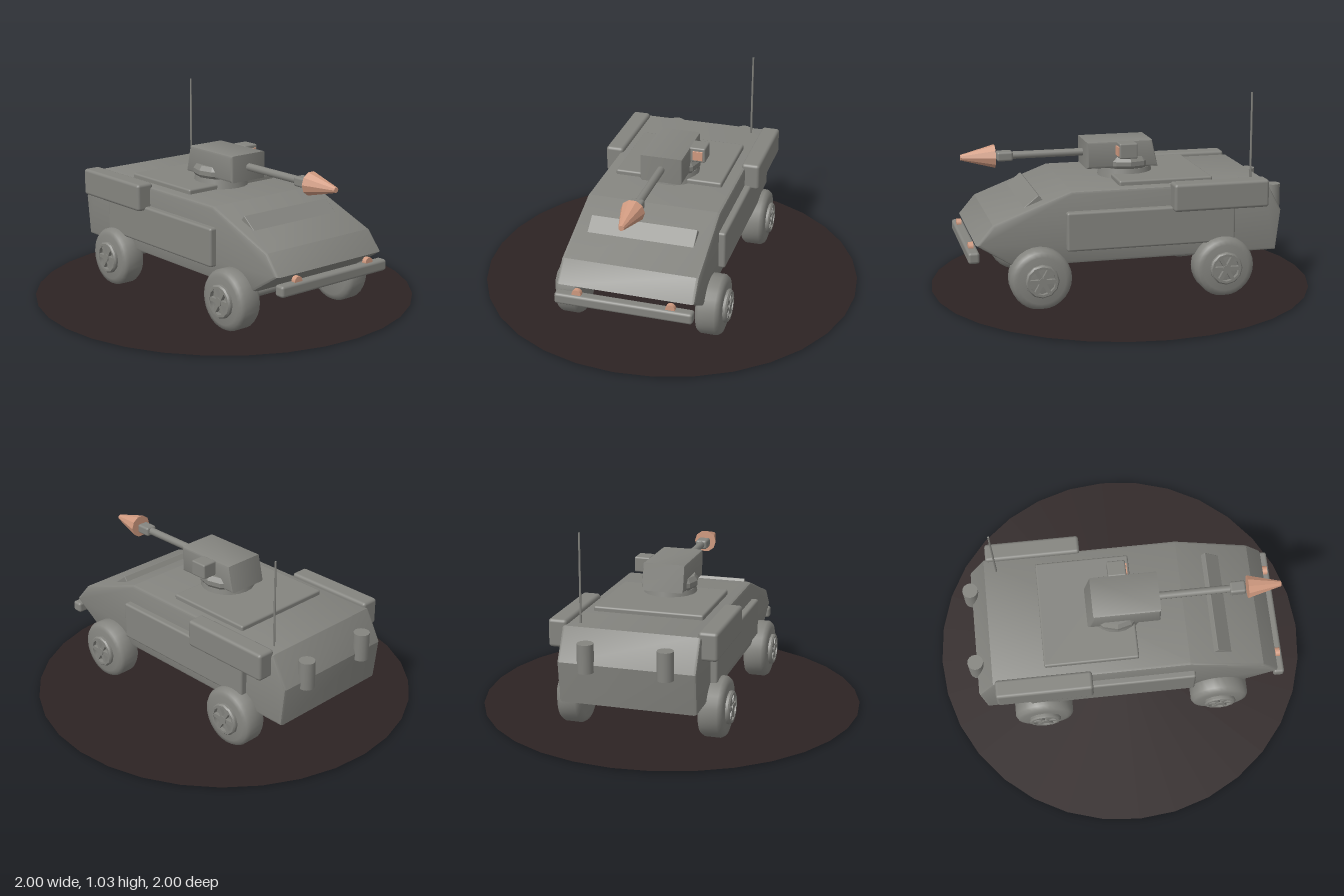
import * as THREE from 'three';
import { toCreasedNormals } from 'three/addons/utils/BufferGeometryUtils.js';
import { RoundedBoxGeometry } from 'three/addons/geometries/RoundedBoxGeometry.js';

const mat = (name, color, extra = {}) => {
  const m = new THREE.MeshStandardMaterial({ color, ...extra });
  m.name = name;
  return m;
};

export function createModel() {
  const model = new THREE.Group();
  model.name = 'armouredCar';
  const grey = mat('armourGrey', 0x84847f);
  const copper = mat('copper', 0xd09a80);
  const earth = mat('darkEarth', 0x2d2323, { side: THREE.DoubleSide });

  const add = (name, geo, material = grey, parent = model) => {
    const mesh = new THREE.Mesh(geo, material);
    mesh.name = name;
    parent.add(mesh);
    return mesh;
  };
  // Rounded box given by its limits on each axis
  const box = (name, [x0, x1], [y0, y1], [z0, z1], r = 0.012, material = grey) => {
    const mesh = add(name, new RoundedBoxGeometry(x1 - x0, y1 - y0, z1 - z0, 2, r), material);
    mesh.position.set((x0 + x1) / 2, (y0 + y1) / 2, (z0 + z1) / 2);
    return mesh;
  };
  // Side profile extruded across the vehicle, with bevelled edges
  const slab = (name, points, halfWidth, bevel) => {
    const shape = new THREE.Shape(points.map(p => new THREE.Vector2(...p)));
    const geo = new THREE.ExtrudeGeometry(shape, {
      depth: 2 * (halfWidth - bevel), bevelEnabled: true, bevelThickness: bevel,
      bevelSize: bevel, bevelOffset: -bevel, bevelSegments: 2,
    });
    geo.translate(0, 0, -halfWidth + bevel);
    return add(name, toCreasedNormals(geo, 0.5));
  };
  // Round part lying along x
  const rod = (name, x0, x1, r0, r1, sides, y, z, material = grey) => {
    const geo = new THREE.CylinderGeometry(r1, r0, x1 - x0, sides);
    geo.rotateZ(-Math.PI / 2);
    const mesh = add(name, sides < 12 ? toCreasedNormals(geo, 0.3) : geo, material);
    mesh.position.set((x0 + x1) / 2, y, z);
    return mesh;
  };

  // Ground disc
  const disc = add('groundDisc', new THREE.CircleGeometry(1, 32).rotateX(-Math.PI / 2), earth);
  disc.position.y = 0.006;

  // Hull
  slab('hull', [[-0.75, 0.21], [0.62, 0.21], [0.81, 0.33], [0.725, 0.43], [0.33, 0.58],
    [-0.69, 0.58], [-0.775, 0.42]], 0.35, 0.015);
  box('roofPlate', [-0.42, 0.07], [0.57, 0.605], [-0.285, 0.285], 0.01);
  const hatch = box('visorFlap', [0.46, 0.565], [0.495, 0.53], [-0.275, 0.275], 0.003);
  hatch.rotation.z = -0.68;
  hatch.position.set(0.513, 0.507, 0);

  // Side armour and stowage boxes
  for (const s of [1, -1]) {
    const span = (a, b) => (s > 0 ? [a, b] : [-b, -a]);
    box('sidePanel', [-0.515, 0.36], [0.28, 0.48], span(0.33, 0.385));
    box('stowageBox', [-0.68, -0.18], [0.46, 0.603], span(0.33, 0.427), 0.016);
    const can = add('rearCanister', new THREE.CylinderGeometry(0.041, 0.041, 0.145, 16));
    can.position.set(-0.776, 0.457, s * 0.2);
    rod('headlight', 0.812, 0.837, 0.024, 0.024, 12, 0.302, s * 0.237, copper);
  }
  box('bumper', [0.793, 0.85], [0.24, 0.298], [-0.35, 0.35], 0.014);

  // Wheels
  const tyreProfile = [[0, -0.065], [0.12, -0.065], [0.143, -0.058], [0.155, -0.04],
    [0.155, 0.04], [0.143, 0.058], [0.12, 0.065], [0, 0.065]].map(p => new THREE.Vector2(...p));
  const tyreGeo = toCreasedNormals(new THREE.LatheGeometry(tyreProfile, 28), 0.75);
  const rimProfile = [[0.066, 0.06], [0.085, 0.06], [0.085, 0.078], [0.078, 0.086], [0.066, 0.086],
    [0.066, 0.06]].map(p => new THREE.Vector2(...p));
  rimProfile.shift();
  rimProfile.push(new THREE.Vector2(0.066, 0.06));
  const rimGeo = toCreasedNormals(new THREE.LatheGeometry(rimProfile, 12), 0.6);
  for (const x of [-0.452, 0.498]) {
    for (const s of [1, -1]) {
      const wheel = new THREE.Group();
      wheel.name = 'wheel';
      wheel.position.set(x, 0.155, s * 0.365);
      wheel.rotation.x = s * Math.PI / 2;
      add('tyre', tyreGeo, grey, wheel);
      add('rim', rimGeo, grey, wheel);
      const cap = add('hubCap', new THREE.CylinderGeometry(0.022, 0.022, 0.025, 12), grey, wheel);
      cap.position.y = 0.076;
      for (let i = 0; i < 6; i++) {
        const spoke = add('spoke', new THREE.BoxGeometry(0.06, 0.02, 0.02).translate(0.042, 0.074, 0), grey, wheel);
        spoke.rotation.y = i * Math.PI / 3;
      }
      model.add(wheel);
    }
  }
  // Axles
  for (const x of [-0.452, 0.498]) {
    const axle = add('axle', new THREE.CylinderGeometry(0.025, 0.025, 0.62, 10).rotateX(Math.PI / 2));
    axle.position.set(x, 0.155, 0);
  }

  // Turret
  const ring = add('turretRing', new THREE.CylinderGeometry(0.135, 0.145, 0.05, 20));
  ring.position.set(-0.027, 0.605, 0);
  const collarProfile = [[0, 0.63], [0.135, 0.63], [0.146, 0.645], [0.146, 0.668], [0.13, 0.692], [0, 0.692]];
  const collar = add('turretCollar', toCreasedNormals(
    new THREE.LatheGeometry(collarProfile.map(p => new THREE.Vector2(...p)), 12), 0.3));
  collar.position.x = -0.025;
  slab('turretBody', [[-0.178, 0.635], [0.2, 0.635], [0.2, 0.775], [-0.147, 0.775]], 0.112, 0.012);
  box('sightBox', [-0.05, 0.045], [0.695, 0.775], [-0.19, -0.105], 0.008);
  box('sightLens', [0.044, 0.052], [0.708, 0.757], [-0.177, -0.125], 0.001, copper);

  // Gun
  rod('gunBarrel', 0.19, 0.6, 0.02, 0.02, 12, 0.706, 0);
  box('muzzle', [0.567, 0.65], [0.68, 0.73], [-0.032, 0.032], 0.012);
  rod('muzzleCone', 0.66, 0.835, 0.061, 0.014, 10, 0.706, 0, copper);

  // Antenna
  const antenna = add('antenna', new THREE.CylinderGeometry(0.005, 0.006, 0.46, 6));
  antenna.position.set(-0.627, 0.8, -0.276);

  return model;
}
